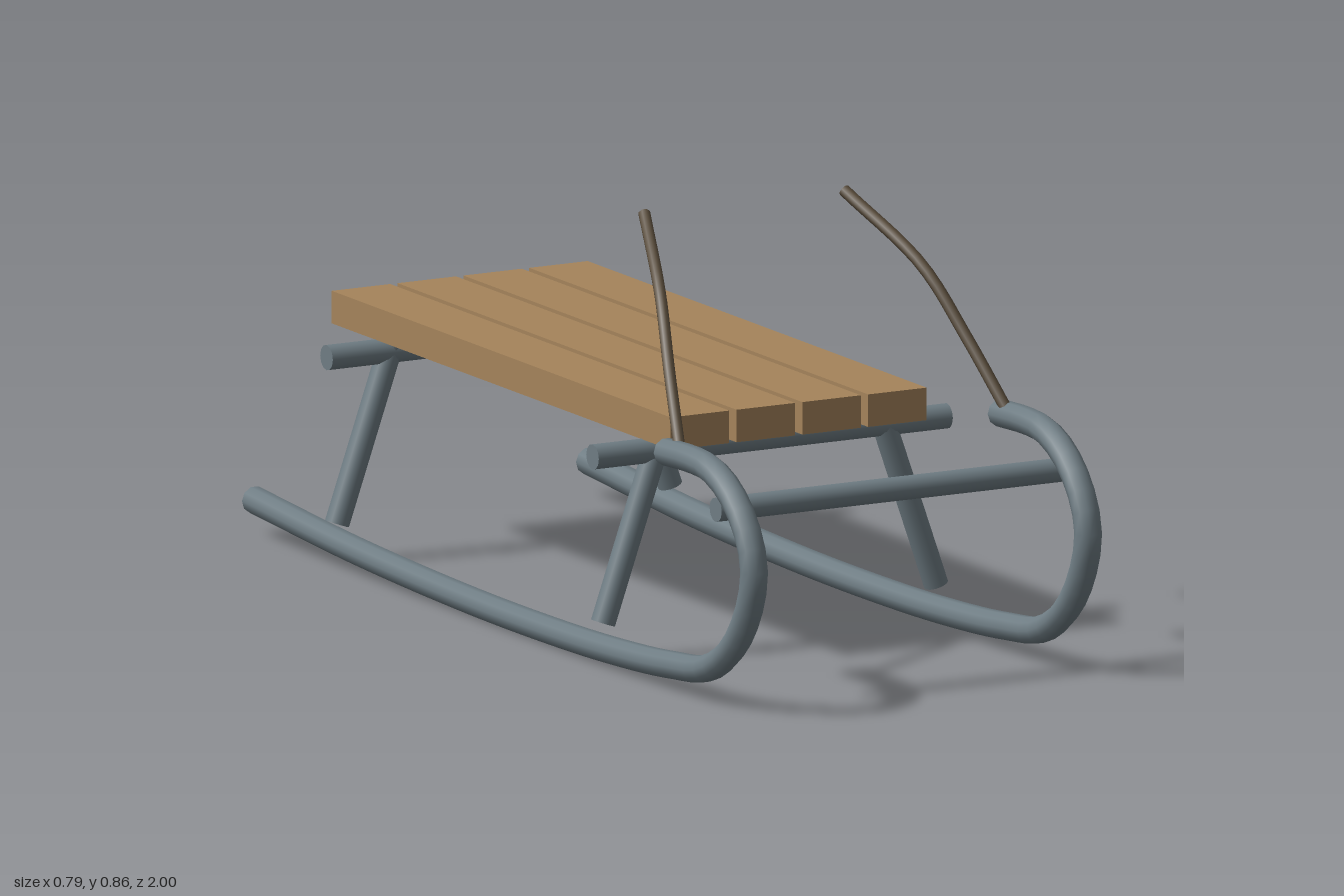
import * as THREE from 'three';

const steel = new THREE.MeshStandardMaterial({ color: 0x6f7d84, side: THREE.DoubleSide });
const wood = new THREE.MeshStandardMaterial({ color: 0xa5845b });
const cord = new THREE.MeshStandardMaterial({ color: 0x5a4d3c, side: THREE.DoubleSide });

const v = (x, y, z) => new THREE.Vector3(x, y, z);

function add(group, name, geometry, material) {
  const mesh = new THREE.Mesh(geometry, material);
  mesh.name = name;
  group.add(mesh);
  return mesh;
}

// Round bar between two points
function bar(group, name, a, b, radius) {
  const mesh = add(group, name, new THREE.CylinderGeometry(radius, radius, a.distanceTo(b), 12), steel);
  mesh.position.copy(a).lerp(b, 0.5);
  mesh.quaternion.setFromUnitVectors(v(0, 1, 0), b.clone().sub(a).normalize());
}

export function createModel() {
  const group = new THREE.Group();
  group.name = 'sled';

  // Runner centre line as [z, y], from the tail round the curled front
  const runnerLine = [
    [-1, 0.07], [-0.6, 0.045], [-0.2, 0.032], [0.1, 0.03], [0.4, 0.036], [0.65, 0.052],
    [0.8, 0.075], [0.9, 0.14], [0.957, 0.225], [0.973, 0.3], [0.945, 0.37],
    [0.885, 0.43], [0.81, 0.464], [0.74, 0.471], [0.625, 0.467],
  ];

  for (const [side, s] of [['left', 1], ['right', -1]]) {
    // Bent tube runner, open at both ends
    const path = new THREE.CatmullRomCurve3(runnerLine.map(([z, y]) => v(s * 0.368, y, z)));
    add(group, side + 'Runner', new THREE.TubeGeometry(path, 64, 0.027, 10), steel);

    // Slanted posts under the seat
    for (const [end, z] of [['Front', 0.375], ['Back', -0.675]]) {
      bar(group, side + end + 'Post', v(s * 0.367, 0.083, z), v(s * 0.246, 0.428, z), 0.024);
    }

    // Pull cord rising from the runner tip
    const cordPath = new THREE.CatmullRomCurve3([
      v(s * 0.362, 0.475, 0.67), v(s * 0.327, 0.61, 0.565),
      v(s * 0.288, 0.735, 0.46), v(s * 0.22, 0.855, 0.275),
    ]);
    add(group, side + 'Cord', new THREE.TubeGeometry(cordPath, 16, 0.012, 8), cord);
  }

  // Cross bars: two carrying the seat, one joining the curled fronts
  for (const [name, z] of [['frontCrossbar', 0.375], ['backCrossbar', -0.675]]) {
    bar(group, name, v(-0.39, 0.412, z), v(0.39, 0.412, z), 0.025);
  }
  bar(group, 'noseCrossbar', v(-0.38, 0.394, 0.843), v(0.38, 0.394, 0.843), 0.024);

  // Seat slats
  for (let i = 0; i < 4; i++) {
    const slat = add(group, 'slat' + (i + 1), new THREE.BoxGeometry(0.129, 0.064, 1.338), wood);
    slat.position.set((i - 1.5) * 0.145, 0.468, -0.179);
  }

  return group;
}
